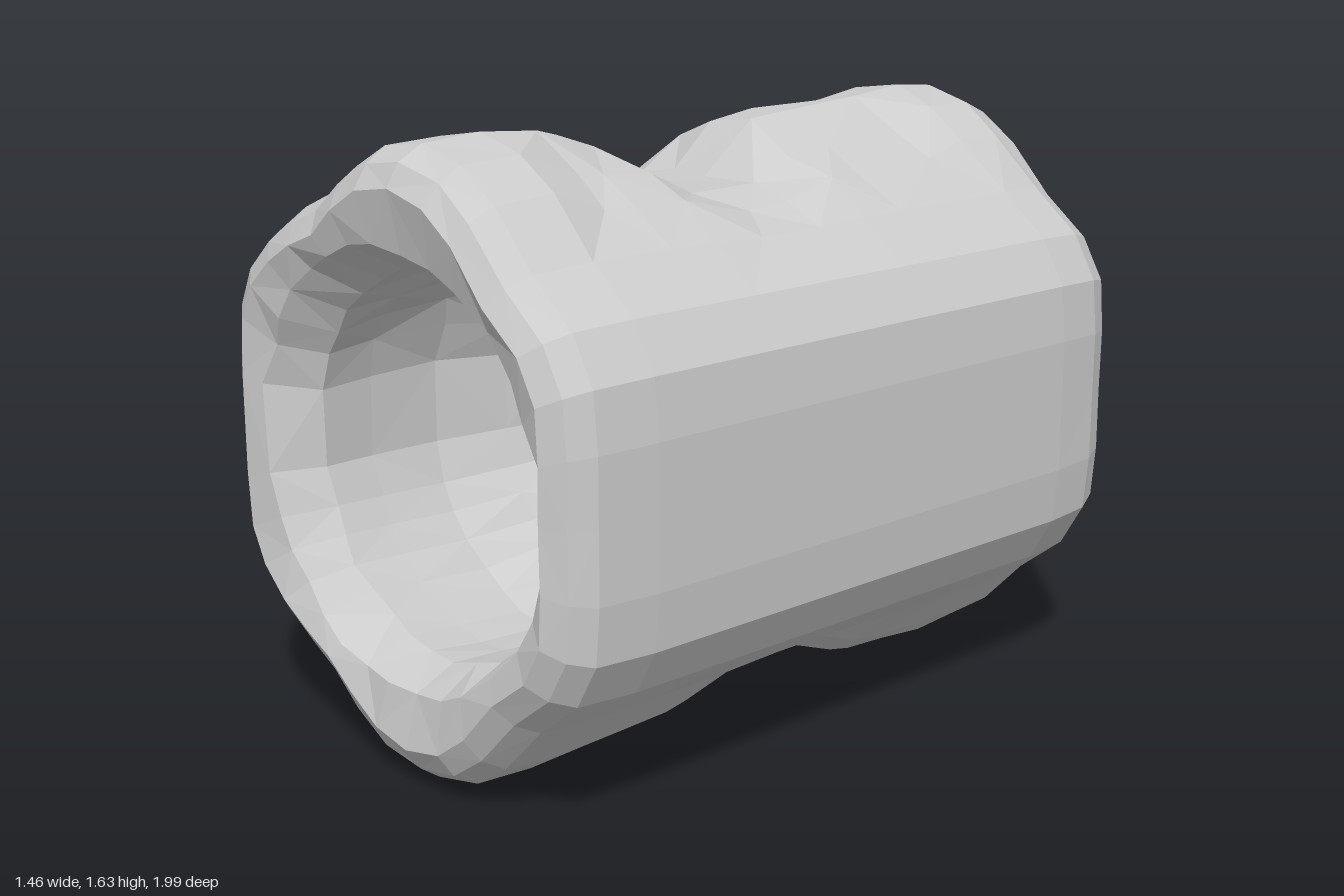
import * as THREE from 'three';

const CY = 0.82; // height of the tube axis

// Upper half of the cross-section, right to left: [x, y at the swellings, x at waist, y at waist]
const HALF = [
  [0.725, 0.82, 0.725, 0.82], [0.725, 1.0, 0.725, 1.0], [0.71, 1.15, 0.71, 1.15],
  [0.64, 1.27, 0.64, 1.27], [0.5, 1.38, 0.5, 1.37], [0.36, 1.52, 0.38, 1.42],
  [0.24, 1.6, 0.25, 1.45], [0.08, 1.635, 0.08, 1.45], [-0.07, 1.615, -0.06, 1.45],
  [-0.2, 1.55, -0.18, 1.43], [-0.31, 1.47, -0.29, 1.39], [-0.43, 1.42, -0.4, 1.32],
  [-0.55, 1.35, -0.5, 1.23], [-0.65, 1.26, -0.6, 1.14], [-0.71, 1.15, -0.67, 1.07],
  [-0.73, 0.98, -0.725, 0.95],
];
const flip = ([x, y, wx, wy]) => [x, 2 * CY - y, wx, 2 * CY - wy];
const PROFILE = [...HALF, ...HALF.slice(1).reverse().map(flip)];

// Small repeatable unevenness for the worn faces
const wobble = (i, j) => {
  const n = Math.sin(i * 12.99 + j * 78.23) * 43758.55;
  return n - Math.floor(n) - 0.5;
};

// Forward shift of the groove: ahead of centre on top, slanting back down the left shoulder
function grooveShift(x, y, z) {
  if (Math.abs(z) > 0.45) return 0;
  if (y <= CY) return Math.abs(z) < 0.3 ? z * 0.25 : 0;
  return (0.09 + 0.4 * Math.min(0, x + 0.25)) * Math.min(1, (y - CY) / 0.35);
}

// One outer ring: swell 0 = waist, 1 = full; shrink rounds the ends
function outerRing(z, swell, shrink, k) {
  return PROFILE.map(([x, y, wx, wy], j) => {
    // the upper right flank of the swellings narrows towards the groove
    const narrow = y > 1.45 && x > 0.2 && Math.abs(z) < 0.6 ? 0.6 : 1;
    const px = THREE.MathUtils.lerp(wx, x, swell * narrow);
    const py = THREE.MathUtils.lerp(wy, y, swell * narrow);
    const worn = x < 0.4 && x > -0.7 ? 0.03 * wobble(k, j) : 0;
    const f = 1 - (shrink || Math.max(0, worn)) / Math.hypot(px, py - CY);
    const pz = z + grooveShift(x, y, z) + worn * (Math.abs(z) < 0.9 ? 1.5 : 0.3);
    return [px * f, CY + (py - CY) * f, pz];
  });
}

// One bore ring: an ellipse following the same angles
function boreRing(z, cx, rx, ry, k) {
  return PROFILE.map(([x, y], j) => {
    const a = Math.atan2(y - CY, x);
    const n = 1 + 0.03 * wobble(k + 40, j);
    return [cx + rx * n * Math.cos(a), CY - 0.005 + ry * n * Math.sin(a), z + 0.02 * wobble(k, j + 9)];
  });
}

function createSleeveGeometry() {
  // [z, swell, shrink], back to front
  const outer = [
    [-0.99, 1, 0.11], [-0.96, 1, 0.05], [-0.88, 1, 0.012], [-0.73, 1, 0], [-0.56, 0.9, 0],
    [-0.4, 0.85, 0], [-0.26, 0.75, 0], [-0.1, 0.02, 0], [0, 0, 0], [0.1, 0.02, 0],
    [0.26, 0.7, 0], [0.4, 0.85, 0], [0.56, 0.93, 0], [0.73, 1, 0],
    [0.9, 1, 0.012], [0.96, 1, 0.05], [0.995, 1, 0.11],
  ];
  // [z, centre x, radius x, radius y], front to back, tightest just inside the back mouth
  const bore = [
    [0.97, 0.02, 0.58, 0.56], [0.86, 0.05, 0.51, 0.49], [0.7, 0.04, 0.52, 0.51], [0.48, 0.03, 0.52, 0.53],
    [0.28, 0.05, 0.49, 0.49], [0.1, 0.07, 0.46, 0.45], [-0.1, 0.07, 0.46, 0.45], [-0.28, 0.05, 0.49, 0.49],
    [-0.48, 0.03, 0.52, 0.53], [-0.7, 0.05, 0.49, 0.5], [-0.86, 0.075, 0.445, 0.45], [-0.97, 0.02, 0.57, 0.55],
  ];
  const rings = [
    ...outer.map(([z, s, h], k) => outerRing(z, s, h, k)),
    ...bore.map(([z, cx, rx, ry], k) => boreRing(z, cx, rx, ry, k)),
  ];
  const n = PROFILE.length;
  const index = [];
  for (let s = 0; s < rings.length; s++) {
    const t = (s + 1) % rings.length;
    for (let j = 0; j < n; j++) {
      const a = s * n + j, b = s * n + (j + 1) % n;
      const c = t * n + (j + 1) % n, d = t * n + j;
      // alternate the diagonals for a faceted look
      if ((s + j) % 2) index.push(a, b, c, a, c, d);
      else index.push(a, b, d, b, c, d);
    }
  }
  const geometry = new THREE.BufferGeometry();
  geometry.setAttribute('position', new THREE.Float32BufferAttribute(rings.flat(2), 3));
  geometry.setIndex(index);
  geometry.computeVertexNormals();
  return geometry;
}

export function createModel() {
  const group = new THREE.Group();
  group.name = 'hollowSleeve';
  const material = new THREE.MeshStandardMaterial({ color: 0xcccccc, flatShading: true });
  const sleeve = new THREE.Mesh(createSleeveGeometry(), material);
  sleeve.name = 'groovedTube';
  group.add(sleeve);
  return group;
}
